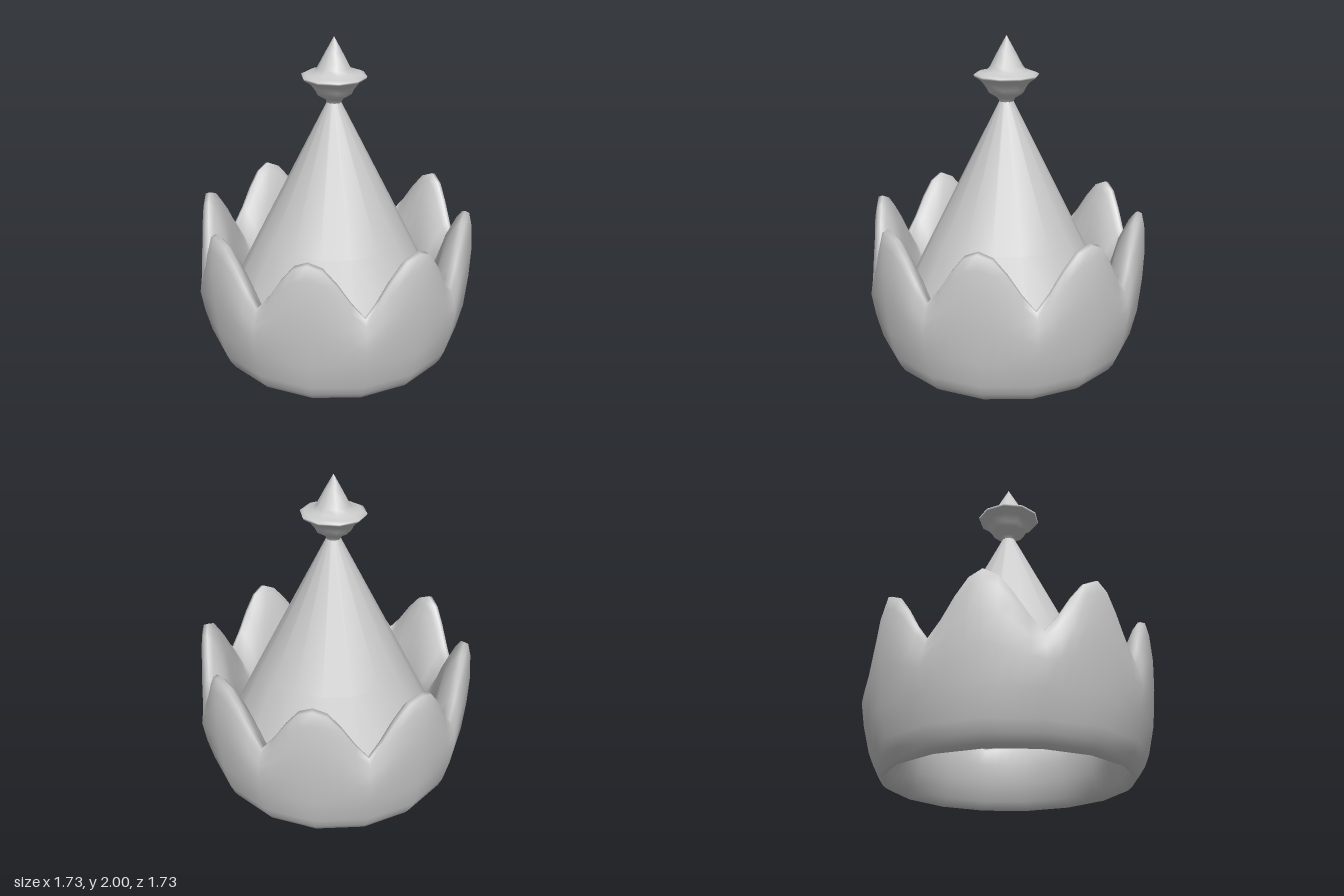
import * as THREE from 'three';

const POINTS = 8, COLS = 64, SIDES = 16;

// Wall section as a closed loop: [radius, height] at a valley, then at a peak
const WALL = [
  [0.72, 0, 0.72, 0], [0.745, 0.02, 0.745, 0.02], [0.775, 0.065, 0.775, 0.065],
  [0.802, 0.13, 0.802, 0.13], [0.84, 0.28, 0.84, 0.3], [0.862, 0.42, 0.86, 0.52],
  [0.85, 0.5, 0.866, 0.7], [0.83, 0.56, 0.855, 0.87], [0.815, 0.598, 0.836, 0.95],
  [0.8, 0.602, 0.81, 0.96], [0.77, 0.57, 0.775, 0.915], [0.71, 0.49, 0.712, 0.78],
  [0.66, 0.42, 0.665, 0.55], [0.637, 0.36, 0.637, 0.4], [0.63, 0.28, 0.63, 0.28],
  [0.645, 0.16, 0.645, 0.16], [0.68, 0.05, 0.68, 0.05],
];

// Rounded peaks with sharp valleys: 1 at a peak, 0 at a valley
function peakAmount(angle) {
  const step = (Math.PI * 2) / POINTS;
  const u = Math.abs(angle / step - Math.round(angle / step)) * 2;
  const end = Math.cos(0.8 * Math.PI);
  return (Math.cos(0.8 * Math.PI * u) - end) / (1 - end);
}

// Scale that turns a circle into a regular polygon with a corner at angle 0
function polygonScale(angle) {
  const step = (Math.PI * 2) / SIDES;
  const local = angle - Math.floor(angle / step + 1e-6) * step - step / 2;
  return Math.cos(step / 2) / Math.cos(local);
}

function crownGeometry() {
  const rows = WALL.length, positions = [], index = [];
  for (let j = 0; j < COLS; j++) {
    const angle = (j / COLS) * Math.PI * 2, f = peakAmount(angle);
    for (const [r0, y0, r1, y1] of WALL) {
      const r = r0 + (r1 - r0) * f;
      positions.push(Math.sin(angle) * r, y0 + (y1 - y0) * f, Math.cos(angle) * r);
    }
    for (let i = 0; i < rows; i++) {
      const next = ((j + 1) % COLS) * rows, up = (i + 1) % rows;
      const a = j * rows + i, b = next + i, c = next + up, d = j * rows + up;
      index.push(a, b, c, a, c, d);
    }
  }
  const geometry = new THREE.BufferGeometry();
  geometry.setAttribute('position', new THREE.Float32BufferAttribute(positions, 3));
  geometry.setIndex(index);
  geometry.computeVertexNormals();
  // Flatten the sides after the normals so the shading stays round
  const p = geometry.attributes.position;
  for (let k = 0; k < p.count; k++) {
    const s = polygonScale((Math.floor(k / rows) / COLS) * Math.PI * 2);
    p.setXYZ(k, p.getX(k) * s, p.getY(k), p.getZ(k) * s);
  }
  return geometry;
}

function lathe(points, sides) {
  return new THREE.LatheGeometry(points.map(([x, y]) => new THREE.Vector2(x, y)), sides);
}

export function createModel() {
  const group = new THREE.Group();
  const material = new THREE.MeshStandardMaterial({ color: 0xcccccc, side: THREE.DoubleSide });
  const add = (name, geometry) => {
    const mesh = new THREE.Mesh(geometry, material);
    mesh.name = name;
    group.add(mesh);
    return mesh;
  };

  // Thick scalloped band, open underneath and narrowest inside at mid height
  add('crownBand', crownGeometry());

  // Hollow cone rising from inside the band
  add('cone', lathe([[0.7, 0.28], [0.455, 0.78], [0.042, 1.61]], SIDES));

  // Flared finial with a pointed tip
  const finial = add('finial', lathe([
    [0.042, 1.605], [0.055, 1.63], [0.105, 1.66], [0.12, 1.69], [0.15, 1.73], [0.192, 1.758],
    [0.197, 1.77], [0.17, 1.782], [0.12, 1.792], [0.098, 1.82], [0.05, 1.91], [0, 2],
  ], 10));
  finial.rotation.y = Math.PI / 10;

  return group;
}
